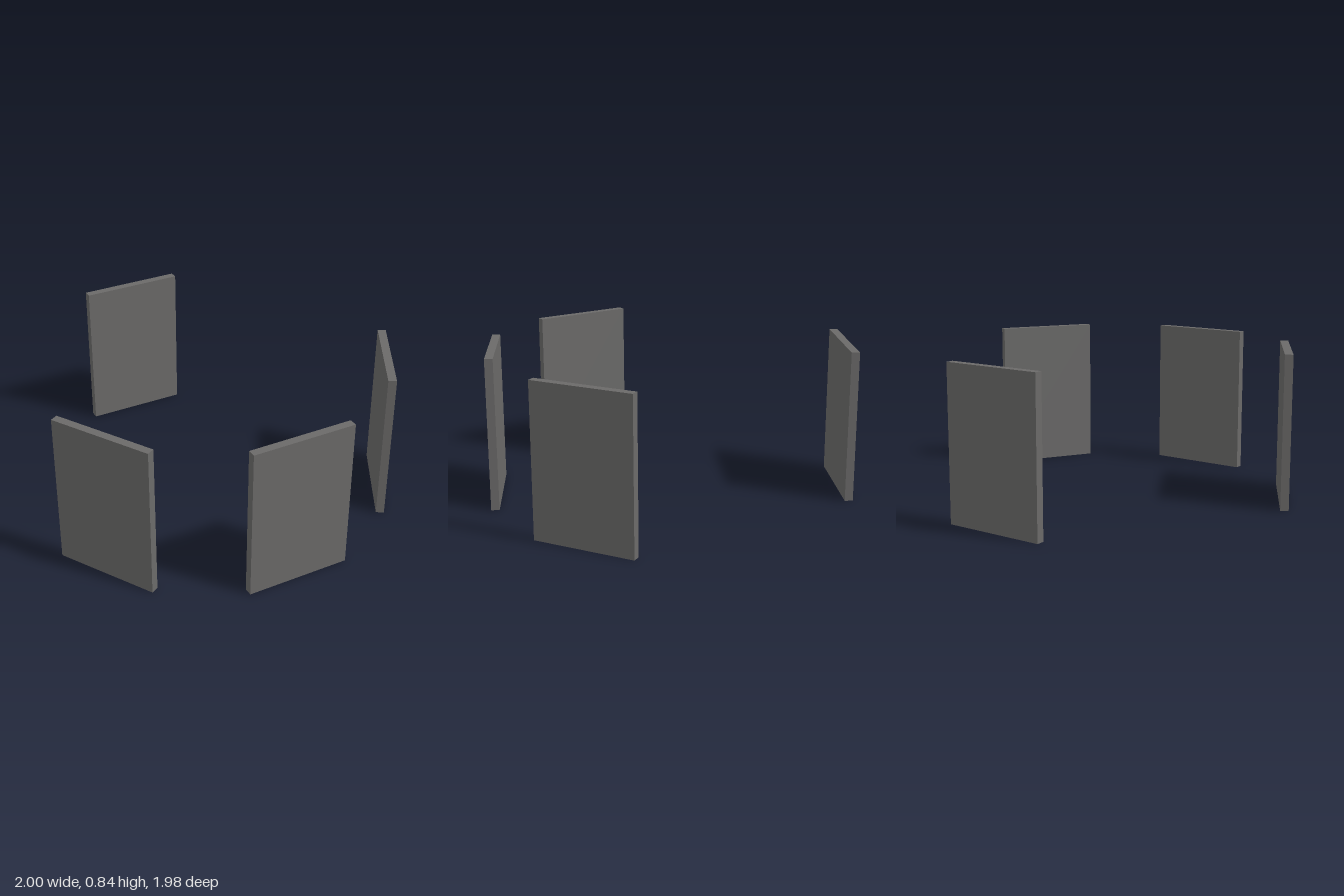
import * as THREE from 'three';

export function createModel() {
  const model = new THREE.Group();
  model.name = 'panelRing';

  const grey = new THREE.MeshStandardMaterial({ color: 0x6b6a69 });
  grey.name = 'dark grey';

  const width = 0.573, height = 0.84, thickness = 0.045, radius = 0.967;
  const panel = new THREE.BoxGeometry(width, height, thickness);

  // Upright panels on a circle, each facing outward; the two rear diagonals are left open
  const panels = { frontPanel: 0, leftPanel: 60, rightPanel: -60, backPanel: 180 };
  for (const [name, degrees] of Object.entries(panels)) {
    const angle = THREE.MathUtils.degToRad(degrees);
    const mesh = new THREE.Mesh(panel, grey);
    mesh.name = name;
    mesh.position.set(Math.sin(angle) * radius, height / 2, Math.cos(angle) * radius);
    mesh.rotation.y = angle;
    model.add(mesh);
  }
  return model;
}
